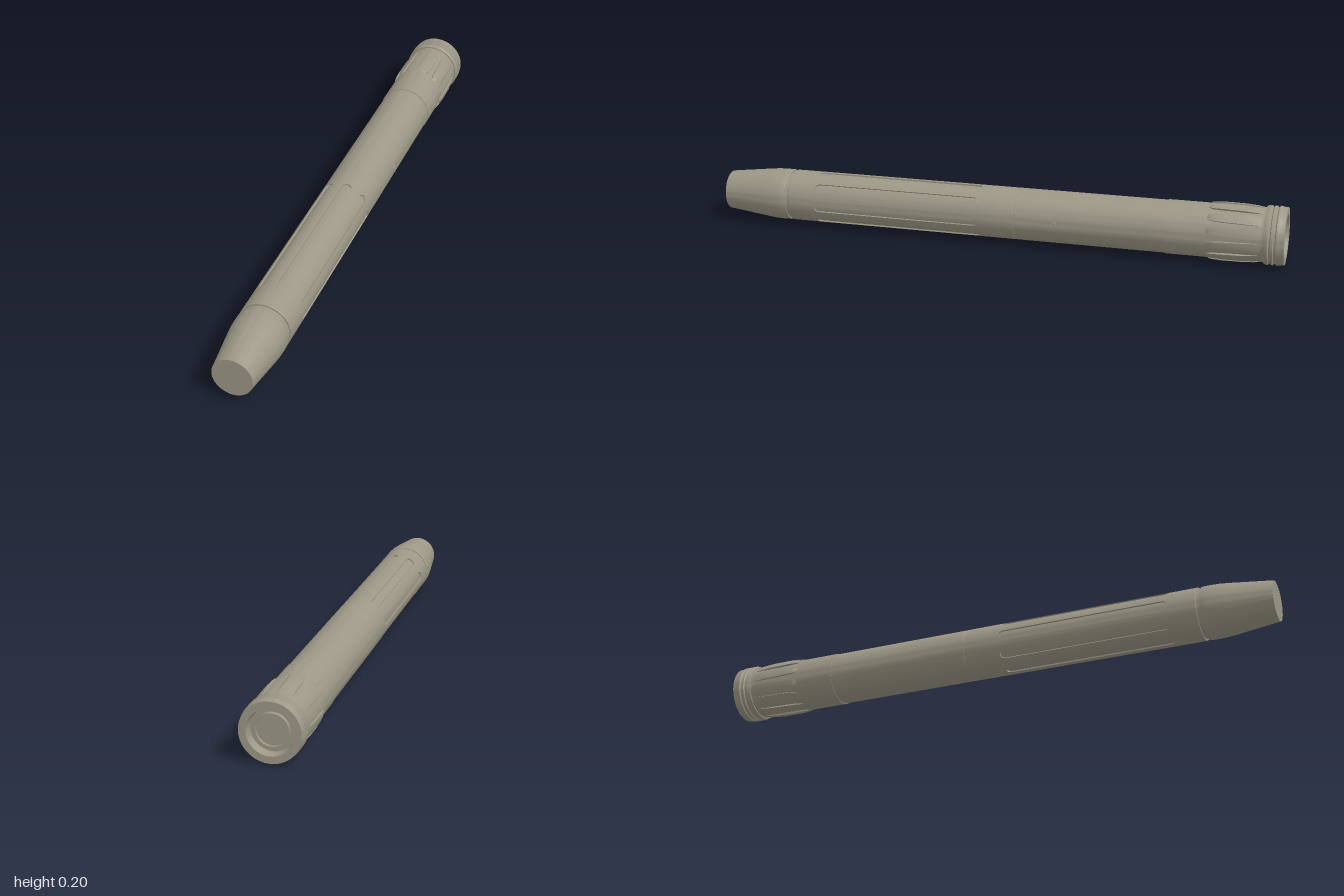
import * as THREE from 'three';
import { toCreasedNormals } from 'three/addons/utils/BufferGeometryUtils.js';

const RAD = Math.PI / 180;
const metal = new THREE.MeshStandardMaterial({ color: 0x9c9786 });
metal.name = 'warm grey metal';

function part(name, geometry, crease = 30) {
  const mesh = new THREE.Mesh(toCreasedNormals(geometry, crease * RAD), metal);
  mesh.name = name;
  return mesh;
}

// Turned part along z; points are [radius, z]
function turned(name, points, crease) {
  const g = new THREE.LatheGeometry(points.map(([r, z]) => new THREE.Vector2(r, z)), 72);
  g.rotateX(Math.PI / 2);
  return part(name, g, crease);
}

// Skin over closed cross-sections; rows are { z, ring: [[angle, radius], ...] }
function loft(name, rows) {
  const pos = [], idx = [], n = rows[0].ring.length;
  for (const { z, ring } of rows)
    for (const [a, r] of ring) pos.push(r * Math.cos(a), r * Math.sin(a), z);
  for (let j = 0; j < rows.length - 1; j++)
    for (let i = 0; i < n; i++) {
      const a = j * n + i, b = j * n + (i + 1) % n;
      idx.push(a, b, b + n, a, b + n, a + n);
    }
  const g = new THREE.BufferGeometry();
  g.setAttribute('position', new THREE.Float32BufferAttribute(pos, 3));
  g.setIndex(idx);
  return part(name, g);
}

// Ring with count equal grooves of half angle w, floor radius inner, land radius outer
function groovedRing(count, offset, w, inner, outer) {
  const ring = [], half = Math.PI / count, steps = 6;
  for (let s = 0; s < count; s++) {
    const mid = offset + s * 2 * half;
    for (let i = 0; i <= 3; i++) ring.push([mid - w + (2 * w * i) / 3, inner]);
    for (let i = 0; i <= steps; i++)
      ring.push([mid + w + ((2 * half - 2 * w) * i) / steps, outer]);
  }
  return ring;
}

export function createModel() {
  const model = new THREE.Group();
  const axis = new THREE.Group();
  axis.name = 'barrelAssembly';
  axis.position.y = 0.1;
  model.add(axis);
  const R = 0.09;

  // Tapered nose with a flat tip
  axis.add(turned('nose', [
    [0.084, 0.75], [0.084, 0.76], [0.088, 0.76], [0.09, 0.765], [0.0905, 0.79],
    [0.0895, 0.82], [0.0865, 0.85], [0.068, 1], [0, 1],
  ]));

  // Front grip with eight round-ended slots
  const z0 = 0.05, z1 = 0.65, hw = 0.016, rows = [];
  const addRow = (z, w) => rows.push({ z, ring: groovedRing(8, 35 * RAD, Math.max(w, 0.0004) / R, w > 0 ? R - 0.005 : R, R) });
  addRow(-0.08, 0);
  addRow(z0 - 0.0005, 0);
  for (let i = 0; i <= 6; i++) {
    const t = (i / 6) * Math.PI / 2;
    addRow(z0 + hw * (1 - Math.cos(t)), hw * Math.sin(t) + 0.0005);
  }
  for (let i = 6; i >= 0; i--) {
    const t = (i / 6) * Math.PI / 2;
    addRow(z1 - hw * (1 - Math.cos(t)), hw * Math.sin(t) + 0.0005);
  }
  addRow(z1 + 0.0005, 0);
  addRow(0.747, 0);
  axis.add(loft('slottedGrip', rows));
  axis.add(turned('gripLip', [[R, 0.747], [0.089, 0.75], [0.08, 0.75]]));

  // Plain rear barrel, with a fine seam against the grip
  axis.add(turned('rearBarrel', [[R, -0.6], [R, -0.083], [0.089, -0.082], [0.089, -0.081], [R, -0.08]]));

  // Small pin on the side
  const pin = part('sidePin', new THREE.CylinderGeometry(0.008, 0.008, 0.006, 24));
  pin.rotation.z = -Math.PI / 2;
  pin.position.set(R, 0, -0.22);
  axis.add(pin);
  const rim = part('pinRim', new THREE.TorusGeometry(0.011, 0.0015, 8, 24));
  rim.rotation.y = Math.PI / 2;
  rim.position.set(R, 0, -0.22);
  axis.add(rim);

  // Collar between barrel and crown
  axis.add(turned('collar', [
    [0.092, -0.93], [0.092, -0.6], [R, -0.6],
  ]));

  // Twist crown with twelve broad ribs
  const crown = [
    [-0.925, 0.0915, 3.5], [-0.9, 0.0955, 3.5], [-0.86, 0.0985, 4], [-0.79, 0.099, 5],
    [-0.76, 0.0975, 6.5], [-0.747, 0.095, 9], [-0.742, 0.0915, 11],
  ].map(([z, r, w]) => ({ z, ring: groovedRing(12, 0, w * RAD, 0.0915, r) }));
  axis.add(loft('ribbedCrown', crown));

  // Threaded end ring with a stepped recess
  axis.add(turned('endRing', [
    [0, -0.972], [0.05, -0.972], [0.05, -0.982], [0.054, -0.982], [0.054, -0.968],
    [0.07, -0.968], [0.074, -1], [0.097, -1], [0.098, -0.984],
    [0.1, -0.98], [0.1, -0.973], [0.095, -0.97], [0.095, -0.966],
    [0.1, -0.963], [0.1, -0.956], [0.095, -0.953], [0.095, -0.949],
    [0.1, -0.946], [0.1, -0.938], [0.096, -0.93], [0.088, -0.93],
  ].map((p) => p)));

  return model;
}
